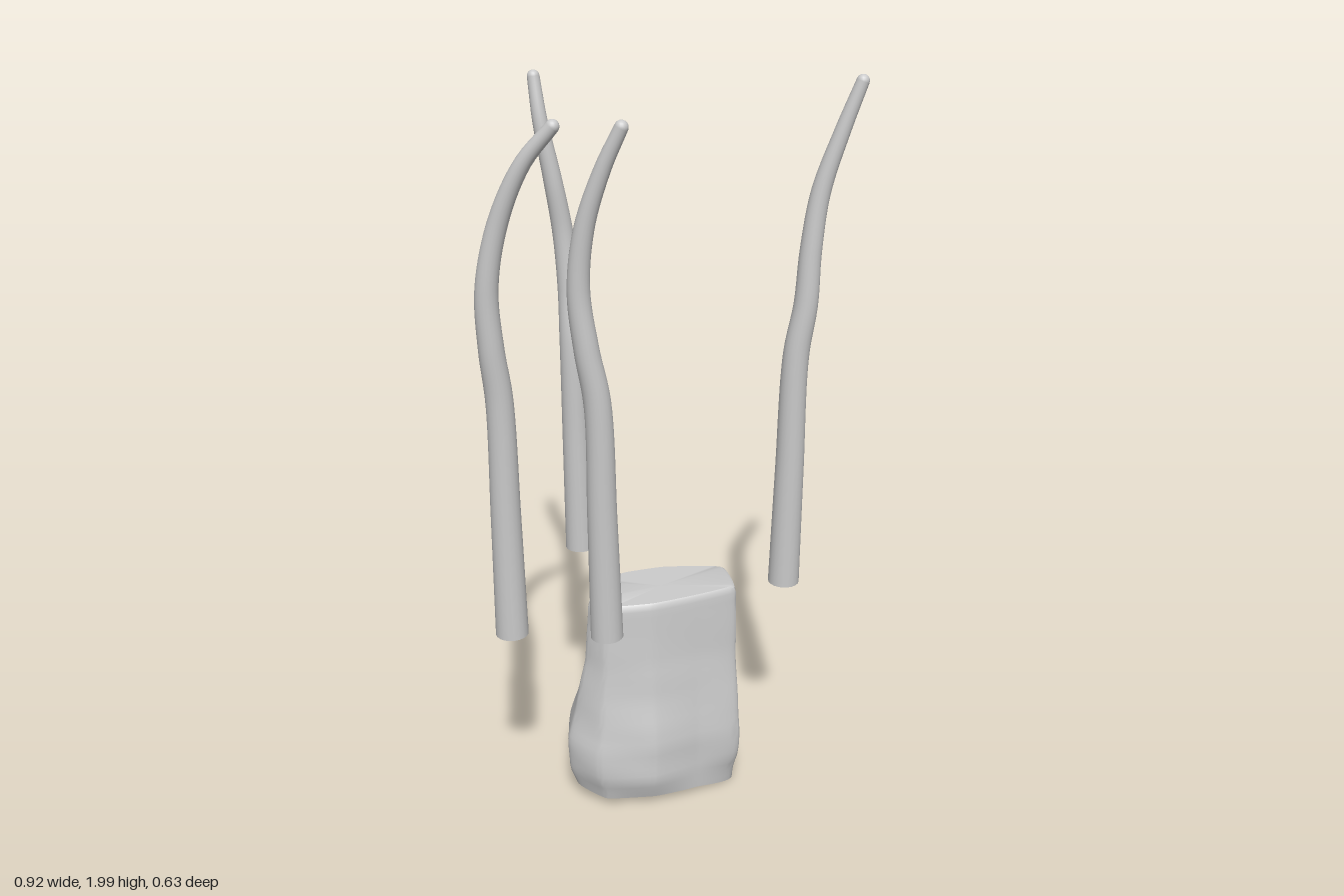
import * as THREE from 'three';
import { toCreasedNormals } from 'three/addons/utils/BufferGeometryUtils.js';

const material = new THREE.MeshStandardMaterial({ color: 0xcccccc });

// Piecewise-linear lookup in a list of [position, value]
function lookup(table, p) {
  for (let i = 1; i < table.length; i++) {
    const [p0, v0] = table[i - 1], [p1, v1] = table[i];
    if (p <= p1) return THREE.MathUtils.mapLinear(Math.max(p, p0), p0, p1, v0, v1);
  }
  return table[table.length - 1][1];
}

// Tapered, bent stick with a flat base and a rounded tip
const stickRadius = [[0, 0.043], [0.5, 0.034], [0.8, 0.025], [1, 0.0165]];
function makeStick(name, points) {
  const rings = 64, sides = 20;
  const curve = new THREE.CatmullRomCurve3(points.map(p => new THREE.Vector3(...p)));
  const tube = new THREE.TubeGeometry(curve, rings, 1, sides);
  const pos = tube.attributes.position, v = new THREE.Vector3();
  for (let i = 0; i <= rings; i++) {
    const c = curve.getPointAt(i / rings), r = lookup(stickRadius, i / rings);
    for (let j = 0; j <= sides; j++) {
      const k = i * (sides + 1) + j;
      v.fromBufferAttribute(pos, k).sub(c).multiplyScalar(r).add(c);
      pos.setXYZ(k, v.x, v.y, v.z);
    }
  }
  const shaft = new THREE.Mesh(tube, material);
  shaft.name = 'shaft';
  const tip = new THREE.Mesh(new THREE.SphereGeometry(0.0165, sides, 10), material);
  tip.name = 'tip';
  tip.position.copy(curve.getPoint(1));
  const base = new THREE.Mesh(new THREE.CircleGeometry(0.043, sides), material);
  base.name = 'base';
  base.position.copy(curve.getPoint(0));
  base.quaternion.setFromUnitVectors(new THREE.Vector3(0, 0, 1), curve.getTangent(0).negate());
  const stick = new THREE.Group();
  stick.name = name;
  stick.add(shaft, tip, base);
  return stick;
}

// Rough block: outline corners as [top x, top z, foot x, foot z, foot y, foot flare]
const corners = [
  [0.155, -0.03, 0.172, -0.01, 0.01, 0.0],
  [0.115, -0.145, 0.09, -0.312, 0.08, 1.0],
  [-0.05, -0.13, -0.04, -0.298, 0.065, 1.0],
  [-0.16, -0.085, -0.2, -0.195, 0.05, 0.95],
  [-0.23, -0.02, -0.31, -0.1, 0.06, 0.7],
  [-0.235, 0.09, -0.302, 0.1, 0.05, 0.6],
  [-0.18, 0.13, -0.2, 0.165, 0.035, 0.5],
  [-0.06, 0.098, -0.05, 0.142, 0.035, 0.5],
  [0.05, 0.04, 0.06, 0.068, 0.03, 0.6],
];
// How far the outline has spread from top to foot at each height
const flare = [[0.1, 0.95], [0.2, 0.98], [0.26, 0.82], [0.35, 0.45], [0.45, 0.2], [0.6, 0.03], [0.635, 0]];

function makeBlock() {
  const height = 0.635, rows = 30, around = 90;
  const verts = [], index = [];
  for (let j = 0; j <= rows; j++) {
    const f = Math.min(j / (rows - 2), 1);
    const inset = j === rows ? 0.94 : j === rows - 1 ? 0.98 : 1;
    const outline = corners.map(([tx, tz, bx, bz, by, bt]) => {
      const y = THREE.MathUtils.lerp(by, 0.615, f);
      const t = y < 0.1 ? THREE.MathUtils.mapLinear(y, by, 0.1, bt, 0.95) : lookup(flare, y);
      return new THREE.Vector3(
        THREE.MathUtils.lerp(tx, bx, t),
        j === rows ? height : j === rows - 1 ? 0.63 : y,
        THREE.MathUtils.lerp(tz, bz, t));
    });
    const loop = new THREE.CatmullRomCurve3(outline, true, 'catmullrom', 0.2);
    for (let i = 0; i < around; i++) {
      const p = loop.getPoint(i / around);
      // Gentle carved unevenness, fading towards the top
      const wobble = 1 + 0.014 * (1 - f) * (Math.sin(p.y * 34 + p.x * 17) + Math.sin(p.z * 29 - p.y * 19));
      const cx = -0.05, cz = -0.02;
      verts.push(cx + (p.x - cx) * inset * wobble, p.y, cz + (p.z - cz) * inset * wobble);
    }
  }
  for (let j = 0; j < rows; j++) {
    for (let i = 0; i < around; i++) {
      const a = j * around + i, b = j * around + (i + 1) % around;
      index.push(a, b, b + around, a, b + around, a + around);
    }
  }
  // Underside and top
  const low = verts.length / 3, high = low + 1, last = rows * around;
  verts.push(-0.06, 0.045, -0.06, -0.05, height, -0.01);
  for (let i = 0; i < around; i++) {
    const n = (i + 1) % around;
    index.push(low, n, i, high, last + i, last + n);
  }
  const geometry = new THREE.BufferGeometry();
  geometry.setAttribute('position', new THREE.Float32BufferAttribute(verts, 3));
  geometry.setIndex(index);
  const block = new THREE.Mesh(toCreasedNormals(geometry, 0.75), material);
  block.name = 'block';
  return block;
}

export function createModel() {
  const model = new THREE.Group();
  model.name = 'blockWithSticks';
  model.add(
    makeBlock(),
    makeStick('frontRightStick', [
      [-0.417, 0.605, 0.23], [-0.417, 0.95, 0.237], [-0.417, 1.26, 0.247], [-0.428, 1.4, 0.26],
      [-0.43, 1.55, 0.268], [-0.395, 1.71, 0.273], [-0.33, 1.85, 0.285], [-0.256, 1.938, 0.295]]),
    makeStick('frontMiddleStick', [
      [-0.168, 0.602, 0.217], [-0.172, 0.95, 0.23], [-0.176, 1.26, 0.243], [-0.198, 1.4, 0.252],
      [-0.213, 1.55, 0.257], [-0.195, 1.7, 0.265], [-0.148, 1.84, 0.276], [-0.102, 1.937, 0.285]]),
    makeStick('backRightStick', [
      [-0.31, 0.622, -0.265], [-0.313, 0.95, -0.258], [-0.316, 1.26, -0.252], [-0.322, 1.4, -0.266],
      [-0.335, 1.55, -0.269], [-0.356, 1.7, -0.254], [-0.383, 1.85, -0.25], [-0.399, 1.962, -0.264]]),
    makeStick('leftStick', [
      [0.284, 0.611, -0.12], [0.291, 0.95, -0.113], [0.299, 1.28, -0.106], [0.32, 1.42, -0.107],
      [0.328, 1.56, -0.111], [0.348, 1.71, -0.117], [0.395, 1.86, -0.121], [0.44, 1.983, -0.125]]),
  );
  return model;
}
